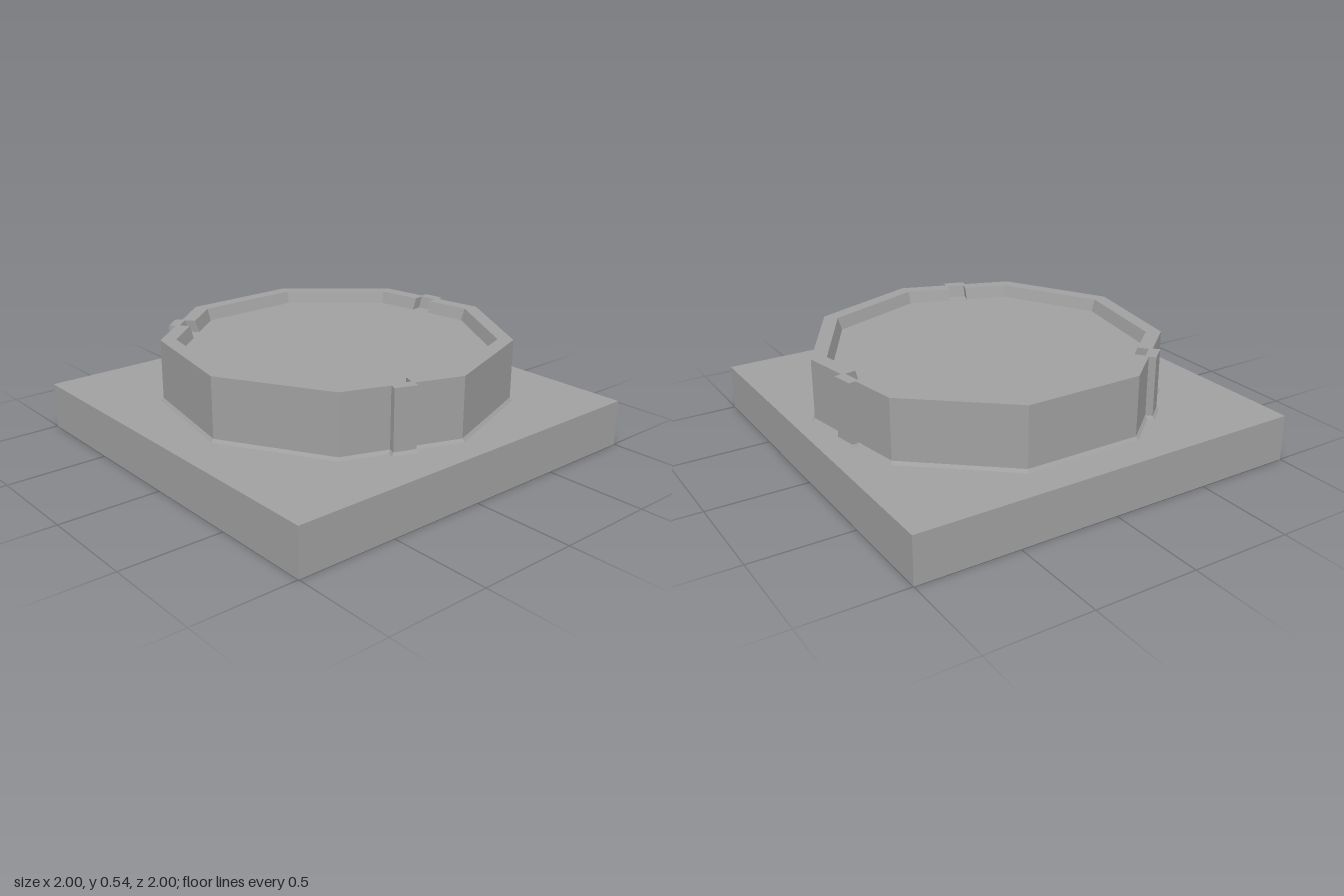
import * as THREE from 'three';

const SIDES = 9;
const CENTER = { x: -0.008, z: -0.05 };
const STEP = (Math.PI * 2) / SIDES;

// Nine-sided outline at height y; every third side steps outward to form a bracket.
function outline(radius, y, bracketReach, bracketHalf) {
  const points = [];
  const apothem = radius * Math.cos(STEP / 2);
  for (let i = 0; i < SIDES; i++) {
    const a = i * STEP;
    points.push(new THREE.Vector3(CENTER.x + radius * Math.cos(a), y, CENTER.z + radius * Math.sin(a)));
    if (i % 3 !== 0) continue;
    const m = a + STEP / 2;
    const c = Math.cos(m), s = Math.sin(m);
    const corners = [
      [apothem, -bracketHalf], [bracketReach, -bracketHalf],
      [bracketReach, bracketHalf], [apothem, bracketHalf],
    ];
    for (const [r, t] of corners) {
      points.push(new THREE.Vector3(CENTER.x + r * c - t * s, y, CENTER.z + r * s + t * c));
    }
  }
  return points;
}

// Flat-shaded surface through successive outlines.
function skin(loops) {
  const positions = [];
  const add = (...vs) => vs.forEach((v) => positions.push(v.x, v.y, v.z));
  for (let k = 0; k < loops.length - 1; k++) {
    const a = loops[k], b = loops[k + 1];
    for (let i = 0; i < a.length; i++) {
      const j = (i + 1) % a.length;
      add(a[i], b[i], a[j], a[j], b[i], b[j]);
    }
  }
  const geometry = new THREE.BufferGeometry();
  geometry.setAttribute('position', new THREE.Float32BufferAttribute(positions, 3));
  geometry.computeVertexNormals();
  return geometry;
}

export function createModel() {
  const model = new THREE.Group();
  model.name = 'ringPedestal';
  const stone = new THREE.MeshStandardMaterial({ color: 0xa0a0a0 });
  stone.name = 'grey stone';

  const add = (name, geometry) => {
    const mesh = new THREE.Mesh(geometry, stone);
    mesh.name = name;
    model.add(mesh);
    return mesh;
  };

  // Square slab
  add('base', new THREE.BoxGeometry(2, 0.23, 2)).position.y = 0.115;

  const wallFoot = outline(0.859, 0.245, 0.842, 0.055);
  const wallTop = outline(0.859, 0.54, 0.842, 0.055);
  const rimInner = outline(0.784, 0.54, 0.79, 0.045);
  const floorEdge = outline(0.764, 0.48, 0.775, 0.05);

  // Small flare where the wall meets the slab
  add('skirt', skin([outline(0.873, 0.229, 0.855, 0.065), wallFoot]));

  // Outer wall with its three brackets, flat rim and recessed inner lip
  add('wall', skin([wallFoot, wallTop]));
  add('rim', skin([wallTop, rimInner]));
  add('innerLip', skin([rimInner, floorEdge]));

  // Sunken floor inside the rim
  const middle = new THREE.Vector3(CENTER.x, 0.48, CENTER.z);
  add('floor', skin([floorEdge, floorEdge.map(() => middle)]));

  // Drop the empty triangles at the floor's centre
  const floor = model.getObjectByName('floor');
  const all = floor.geometry.attributes.position.array;
  const kept = [];
  for (let i = 0; i < all.length; i += 18) kept.push(...all.slice(i, i + 9));
  floor.geometry.setAttribute('position', new THREE.Float32BufferAttribute(kept, 3));
  floor.geometry.deleteAttribute('normal');
  floor.geometry.computeVertexNormals();

  return model;
}
